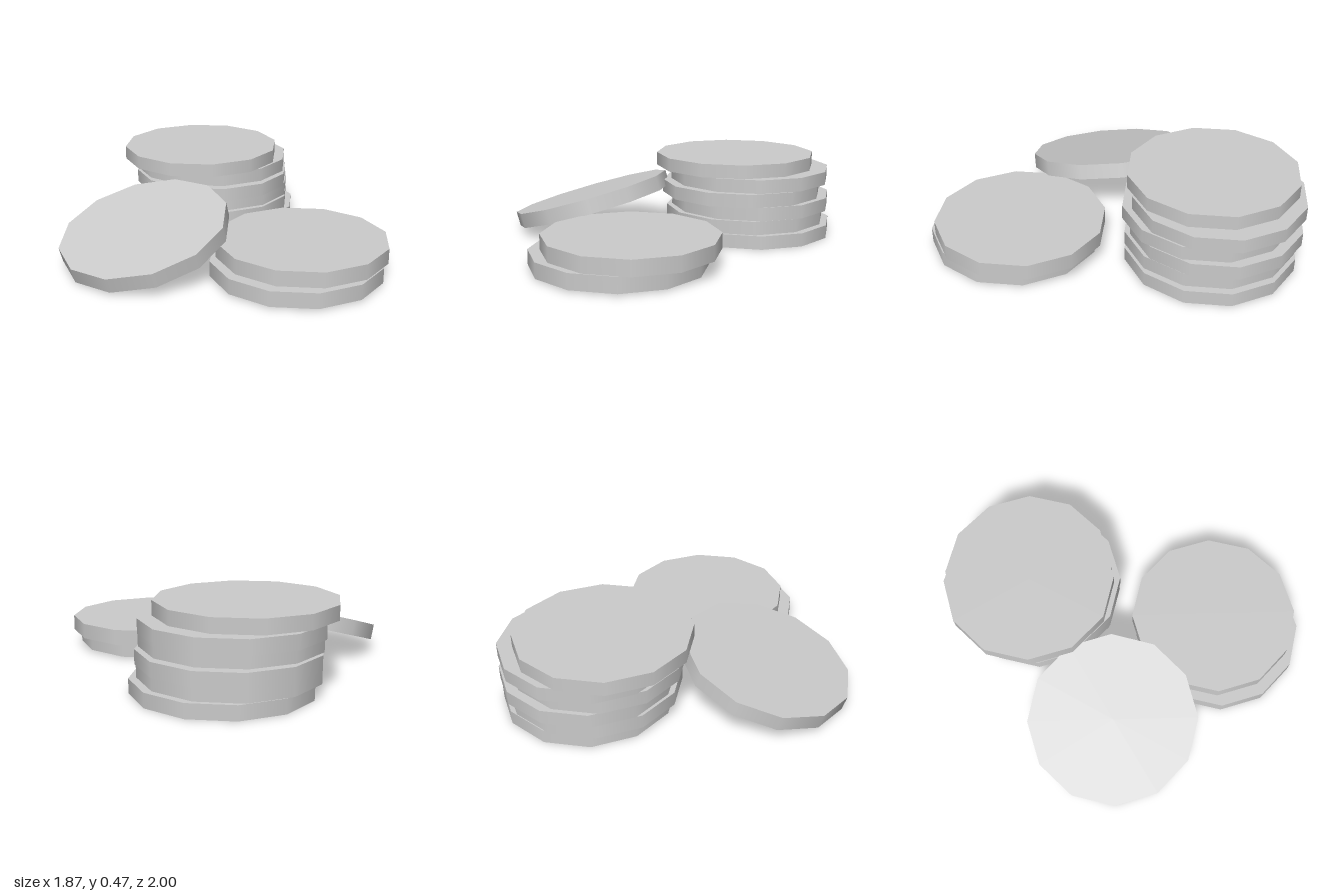
import * as THREE from 'three';

const R = 0.48, HOLE = 0.375, SIDES = 12;
const TURN = THREE.MathUtils.degToRad(8); // every disc shares the same slight turn

const material = new THREE.MeshStandardMaterial({ color: 0xcccccc, side: THREE.DoubleSide });

function mesh(name, geometry, y = 0) {
  const m = new THREE.Mesh(geometry, material);
  m.name = name;
  m.position.y = y;
  return m;
}

// Shell open underneath; covered discs keep only an annular top
function coin(name, h, covered) {
  const g = new THREE.Group();
  g.name = name;
  const rim = new THREE.CylinderGeometry(R, R, h, SIDES, 1, true, Math.PI / 2 - TURN);
  const face = covered
    ? new THREE.RingGeometry(HOLE, R, SIDES, 1, -TURN)
    : new THREE.CircleGeometry(R, SIDES, -TURN);
  face.rotateX(-Math.PI / 2);
  g.add(mesh('rim', rim, h / 2), mesh('topFace', face, h));
  return g;
}

// Stack from the bottom up; centres are [x, z] pairs
function stack(name, y0, h, centres) {
  const g = new THREE.Group();
  g.name = name;
  centres.forEach(([x, z], i) => {
    const c = coin('coin' + (i + 1), h, i < centres.length - 1);
    c.position.set(x, y0 + i * h, z);
    g.add(c);
  });
  return g;
}

export function createModel() {
  const model = new THREE.Group();
  model.name = 'coinPile';

  model.add(stack('tallStack', 0.005, 0.0777, [
    [0.459, -0.478], [0.418, -0.49], [0.445, -0.512],
    [0.395, -0.482], [0.434, -0.524], [0.339, -0.526],
  ]));

  model.add(stack('shortStack', 0.014, 0.0862, [[0, 0.522], [0.065, 0.507]]));

  // Solid coin leaning against the tall stack
  const leaning = mesh('leaningCoin',
    new THREE.CylinderGeometry(R, R, 0.087, SIDES, 1, false, Math.PI / 2 - TURN));
  leaning.position.set(-0.47, 0.188, -0.183);
  leaning.rotation.z = THREE.MathUtils.degToRad(16.8);
  model.add(leaning);

  return model;
}
